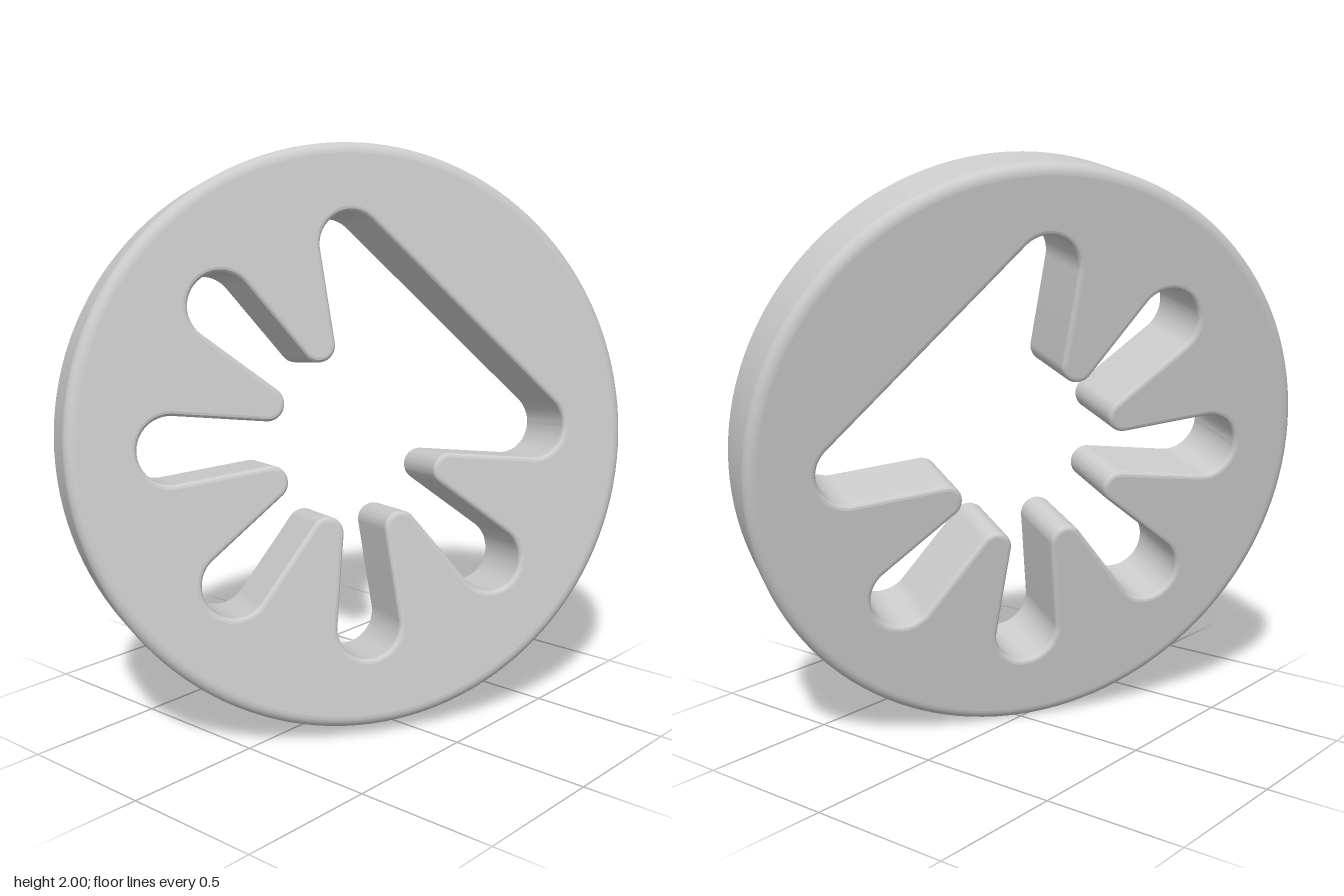
import * as THREE from 'three';
import { toCreasedNormals } from 'three/addons/utils/BufferGeometryUtils.js';

const RADIUS = 0.995, HALF = 0.157, FILLET = 0.04; // disc size
const SLOT_R = 0.65, SLOT_W = 0.12;  // slot end circles
const TIP_R = 0.345, TIP_W = 0.05;   // rounded prong tips
const BEVEL = 0.016;
const rad = THREE.MathUtils.degToRad;

// Seven radial slots joined at the centre; first and last are bridged by a straight edge
function slotOpening() {
  const path = new THREE.Path();
  const tangent = 96.8; // where slot walls leave the end circles
  for (let i = 0; i < 7; i++) {
    const a = 90 + 45 * i;
    const from = i === 0 ? 45 : a - tangent;
    const to = i === 6 ? a + 45 : a + tangent;
    path.absarc(SLOT_R * Math.cos(rad(a)), SLOT_R * Math.sin(rad(a)), SLOT_W, rad(from), rad(to), false);
    if (i < 6) {
      const b = rad(a + 22.5);
      path.absarc(TIP_R * Math.cos(b), TIP_R * Math.sin(b), TIP_W,
        rad(a + tangent + 180), rad(a + 45 - tangent + 180), true);
    }
  }
  path.closePath();
  return path;
}

export function createModel() {
  const model = new THREE.Group();
  model.name = 'slottedDisc';
  const material = new THREE.MeshStandardMaterial({ color: 0xcccccc });
  const disc = new THREE.Group();
  disc.name = 'tiltedDisc';

  // Flat faces and slot walls
  const faceR = RADIUS - FILLET;
  const shape = new THREE.Shape();
  shape.absarc(0, 0, faceR + BEVEL / 2, 0, Math.PI * 2, false);
  shape.holes.push(slotOpening());
  const plate = new THREE.ExtrudeGeometry(shape, {
    depth: 2 * (HALF - BEVEL), curveSegments: 64, bevelEnabled: true,
    bevelThickness: BEVEL, bevelSize: BEVEL, bevelOffset: -BEVEL / 2, bevelSegments: 3,
  });
  plate.translate(0, 0, -(HALF - BEVEL));
  const web = new THREE.Mesh(toCreasedNormals(plate, 0.2), material);
  web.name = 'slottedWeb';
  disc.add(web);

  // Rounded outer rim
  const profile = [];
  for (const side of [-1, 1]) {
    for (let i = 0; i <= 8; i++) {
      const t = (side < 0 ? i - 8 : i) / 8 * Math.PI / 2;
      profile.push(new THREE.Vector2(
        faceR + FILLET * Math.cos(t), side * (HALF - FILLET) + FILLET * Math.sin(t)));
    }
  }
  const rim = new THREE.Mesh(new THREE.LatheGeometry(profile, 128).rotateX(Math.PI / 2), material);
  rim.name = 'outerRim';
  disc.add(rim);

  // Lean the disc in space
  const n = new THREE.Vector3(-0.5, 0.15, 0.853).normalize();
  const u = new THREE.Vector3(0.078, 0.988, -0.128).cross(n).normalize();
  const v = n.clone().cross(u);
  disc.quaternion.setFromRotationMatrix(new THREE.Matrix4().makeBasis(u, v, n));
  disc.position.y = 1;
  model.add(disc);
  return model;
}
